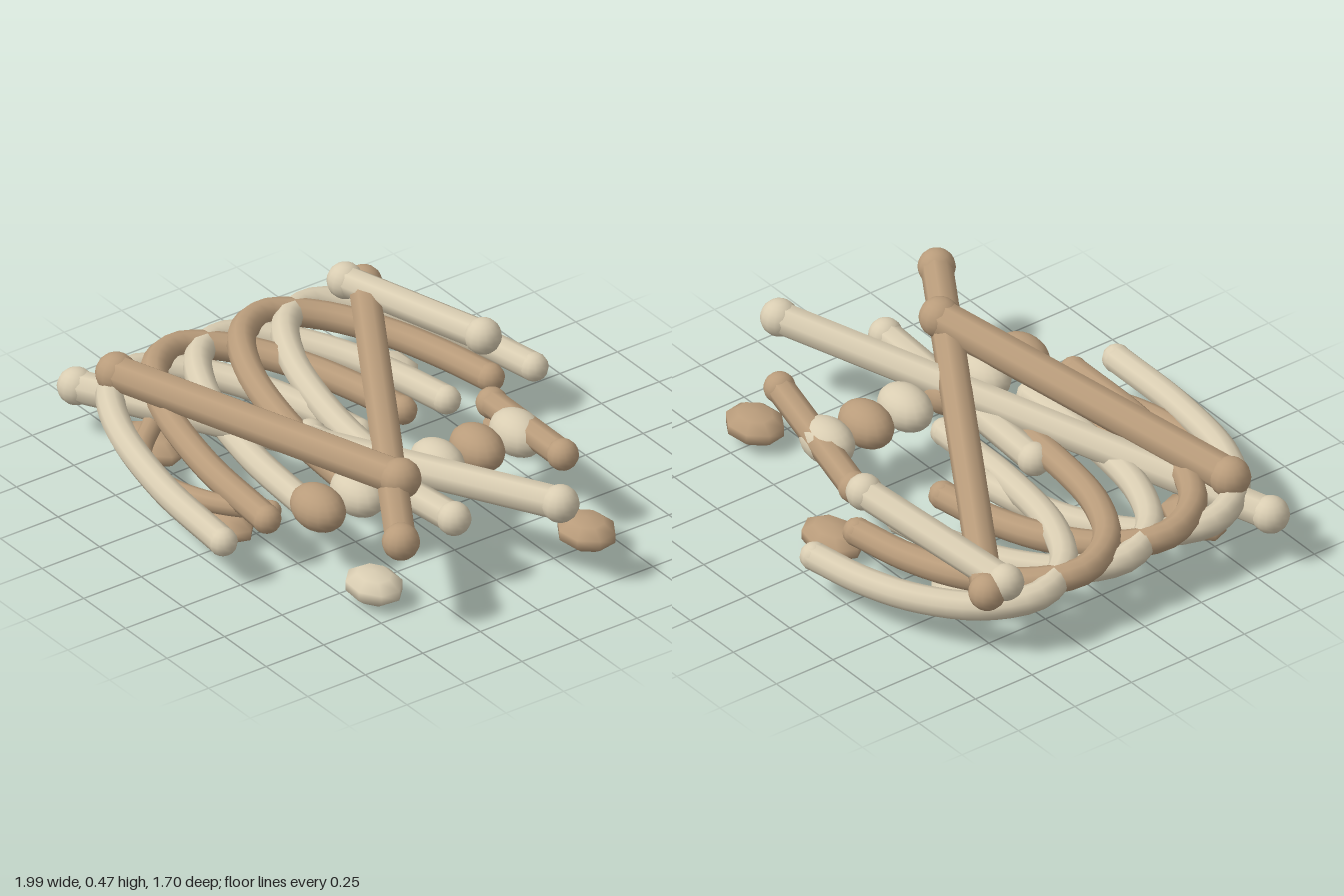
import * as THREE from 'three';

const V = (x, y, z) => new THREE.Vector3(x, y, z);

export function createModel() {
  const group = new THREE.Group();
  group.name = 'bonePile';

  const pale = new THREE.MeshStandardMaterial({ color: 0xd9cdb2 });
  pale.name = 'pale bone';
  const aged = new THREE.MeshStandardMaterial({ color: 0xb99c7b });
  aged.name = 'aged bone';

  const add = (name, geometry, material, parent = group) => {
    const mesh = new THREE.Mesh(geometry, material);
    mesh.name = name;
    parent.add(mesh);
    return mesh;
  };

  // Curved bone: a tube with round ends
  const curvedBone = (name, points, radius, material) => {
    const bone = new THREE.Group();
    bone.name = name;
    group.add(bone);
    const curve = new THREE.CatmullRomCurve3(points);
    add(name + 'Shaft', new THREE.TubeGeometry(curve, 40, radius, 10), material, bone);
    for (const end of [points[0], points[points.length - 1]]) {
      add(name + 'End', new THREE.SphereGeometry(radius * 1.02, 12, 8), material, bone).position.copy(end);
    }
  };

  // Straight bone: a few-sided shaft with a knob at each end
  const longBone = (name, a, b, radius, knob, material) => {
    const bone = new THREE.Group();
    bone.name = name;
    group.add(bone);
    const dir = b.clone().sub(a);
    const shaft = add(name + 'Shaft', new THREE.CylinderGeometry(radius, radius, dir.length(), 8), material, bone);
    shaft.position.copy(a).add(b).multiplyScalar(0.5);
    shaft.quaternion.setFromUnitVectors(V(0, 1, 0), dir.normalize());
    for (const end of [a, b]) {
      add(name + 'Knob', new THREE.SphereGeometry(knob, 14, 10), material, bone).position.copy(end);
    }
  };

  // Five ribs in alternating colours, open toward +x; the aged ones lie a little higher
  const ribProfile = [
    [-0.13, 0.16, -0.8], [-0.36, 0.16, -0.755], [-0.58, 0.17, -0.675], [-0.78, 0.19, -0.535],
    [-0.87, 0.215, -0.37], [-0.8, 0.23, -0.21], [-0.58, 0.22, -0.08], [-0.2, 0.19, 0.005], [0.2, 0.17, 0.03],
  ];
  for (let i = 0; i < 5; i++) {
    const lift = i % 2 ? 0.025 : 0;
    const points = ribProfile.map(([x, y, z]) => V(x, y + lift, z + i * 0.19));
    curvedBone('rib' + (i + 1), points, 0.052, i % 2 ? aged : pale);
  }

  // Loose curved bone under the front ribs
  curvedBone('looseCurvedBone', [
    V(0.13, 0.17, 0.53), V(-0.06, 0.16, 0.66), V(-0.28, 0.15, 0.71), V(-0.48, 0.15, 0.65), V(-0.6, 0.16, 0.52),
  ], 0.037, aged);

  // Long bones lying across the ribs
  longBone('frontLongBone', V(-0.78, 0.295, 0.545), V(0.52, 0.395, 0.25), 0.067, 0.075, aged);
  longBone('longestBone', V(-0.93, 0.19, 0.61), V(0.92, 0.345, -0.155), 0.06, 0.069, pale);
  longBone('diagonalBone', V(-0.8, 0.265, -0.545), V(0.82, 0.36, 0.465), 0.058, 0.068, aged);
  longBone('backBone', V(-0.82, 0.29, -0.48), V(-0.145, 0.355, -0.59), 0.057, 0.067, pale);
  longBone('smallBackBone', V(0.06, 0.22, -0.48), V(0.61, 0.31, -0.39), 0.052, 0.058, aged);
  longBone('smallMiddleBone', V(-0.16, 0.2, 0.15), V(0.69, 0.275, 0.14), 0.055, 0.062, pale);

  // Row of vertebrae
  for (let i = 0; i < 6; i++) {
    const vertebra = add('vertebra' + (i + 1), new THREE.SphereGeometry(1, 16, 12), i % 2 ? aged : pale);
    vertebra.scale.set(0.12, 0.082, 0.087);
    vertebra.position.set(0.315, 0.25, -0.405 + i * 0.173);
  }

  // Flat angular fragments on the ground: x, y, z, half width, half depth, turn
  const fragments = [
    [0.04, 0.06, -0.59, 0.14, 0.1, 0.1, aged],
    [0.76, 0.072, -0.385, 0.125, 0.105, 2.9, aged],
    [0.61, 0.065, 0.43, 0.125, 0.1, 0.3, pale],
    [-0.07, 0.06, 0.6, 0.16, 0.095, 0.2, aged],
    [-0.63, 0.06, 0.5, 0.15, 0.1, 3.0, aged],
    [-0.53, 0.065, -0.46, 0.13, 0.105, 0.4, pale],
  ];
  fragments.forEach(([x, y, z, w, d, turn, material], i) => {
    const geometry = new THREE.SphereGeometry(1, 8, 5);
    geometry.rotateY(turn);
    geometry.scale(w, 0.059, d);
    add('fragment' + (i + 1), geometry, material).position.set(x, y, z);
  });

  return group;
}
